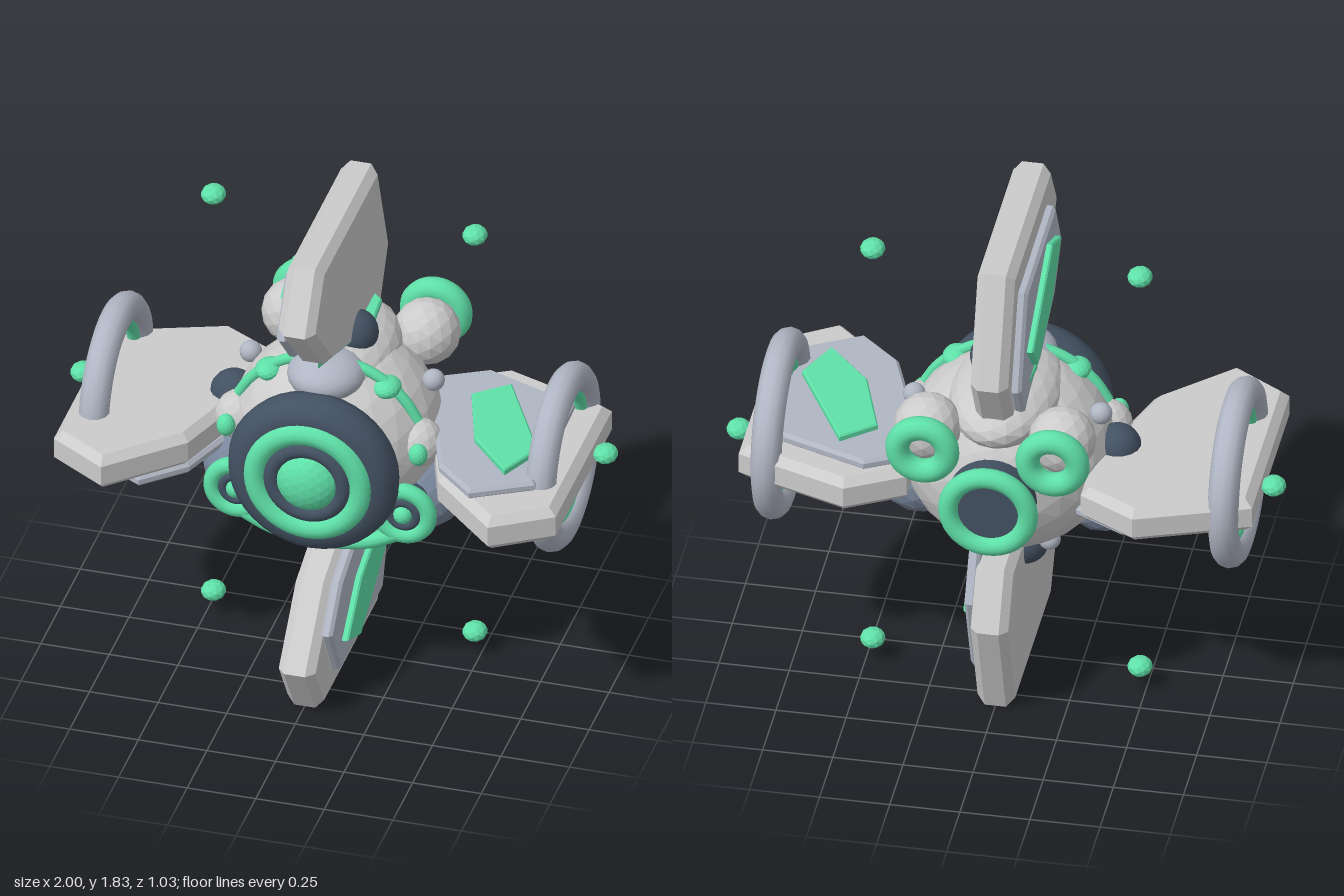
import * as THREE from 'three';

const mat = (color, flatShading = false) => new THREE.MeshStandardMaterial({ color, flatShading });
const GREEN = mat(0x5fe0a8), GEM = mat(0x5fe0a8, true), DARK = mat(0x435162), SLATE = mat(0x78859a, true);
const LILAC = mat(0xb0b6c4), SHELL = mat(0xe4e4e4, true), PLATE = mat(0xcccccc);
const CY = 0.93; // height of the central axis

export function createModel() {
  const root = new THREE.Group();

  const add = (name, geo, material, x = 0, y = 0, z = 0, parent = root) => {
    const m = new THREE.Mesh(geo, material);
    m.name = name;
    m.position.set(x, y, z);
    parent.add(m);
    return m;
  };
  // ball squashed to radii rx, ry, rz
  const ball = (name, material, x, y, z, rx, ry = rx, rz = rx, detail = 2) =>
    add(name, new THREE.IcosahedronGeometry(1, detail).scale(rx, ry, rz), material, x, y, z);
  const ring = (name, material, R, tube, x, y, z) =>
    add(name, new THREE.TorusGeometry(R, tube, 12, 40), material, x, y, z);
  // flat slab in the xz plane with bevelled rim, between heights y0 and y1
  const slab = (points, y0, y1, bevel) => {
    const shape = new THREE.Shape(points.map(p => new THREE.Vector2(p[0], p[1])));
    return new THREE.ExtrudeGeometry(shape, {
      depth: y1 - y0 - 2 * bevel, bevelEnabled: true, bevelThickness: bevel,
      bevelSize: bevel, bevelOffset: -bevel, bevelSegments: 1
    }).rotateX(Math.PI / 2).translate(0, y1 - bevel, 0);
  };

  // Faceted core
  ball('body', SHELL, 0, CY, -0.04, 0.38, 0.36, 0.37, 4);
  ball('topSaddle', SHELL, 0, 1.2, -0.1, 0.2, 0.12, 0.32, 3);
  ball('topFrontDome', LILAC, 0, 1.235, 0.1, 0.14, 0.085, 0.14, 3);
  add('topBadge', slab([[0, -0.34], [0.1, -0.25], [0.11, -0.12], [0, 0.21], [-0.11, -0.12], [-0.1, -0.25]],
    1.315, 1.345, 0.006), GREEN);

  // Four wings around the axis, each with a raised panel on one face
  const wingOutline = [[0.915, -0.33], [0.915, 0.38], [0.705, 0.513], [0.455, 0.275], [0.36, 0],
    [0.31, -0.2], [0.31, -0.36], [0.515, -0.474]];
  const panelOutline = [[0.81, 0.28], [0.602, 0.395], [0.455, 0.26], [0.36, 0], [0.28, -0.29], [0.46, -0.386], [0.8, -0.26]];
  const inlayOutline = [[0.695, 0.265], [0.535, 0.09], [0.447, -0.18], [0.565, -0.28], [0.77, 0.1]];
  for (let i = 0; i < 4; i++) {
    const wing = new THREE.Group();
    wing.name = 'wing';
    wing.position.y = CY;
    wing.rotation.z = i * Math.PI / 2;
    add('wingSlab', slab(wingOutline, -0.067, 0.067, 0.029), PLATE, 0, 0, 0, wing);
    add('wingPanel', slab(panelOutline, 0.06, 0.102, 0.012), LILAC, 0, 0, 0, wing);
    add('wingInlay', slab(inlayOutline, 0.095, 0.125, 0.006), GREEN, 0, 0, 0, wing);
    add('wingRootKnob', new THREE.SphereGeometry(0.085, 16, 12), DARK, 0.385, -0.055, -0.06, wing);
    root.add(wing);
  }

  // Front eye
  ring('eyeOuterRing', DARK, 0.228, 0.083, 0, CY, 0.265);
  ring('eyeGreenRing', GREEN, 0.193, 0.042, 0, CY, 0.335);
  ring('eyeInnerRing', DARK, 0.13, 0.032, 0, CY, 0.34);
  add('eyeBacking', new THREE.CylinderGeometry(0.2, 0.2, 0.14, 32).rotateX(Math.PI / 2), DARK, 0, CY, 0.26);
  ball('eyeLens', GEM, 0, CY, 0.33, 0.118, 0.118, 0.08, 3);

  // Rear port
  add('rearPort', new THREE.CylinderGeometry(0.155, 0.165, 0.12, 32).rotateX(Math.PI / 2), DARK, 0, CY, -0.41);
  ring('rearPortRing', GREEN, 0.142, 0.036, 0, CY, -0.466);

  // Parts mirrored left and right
  for (const s of [1, -1]) {
    ball('rearPod', SHELL, s * 0.24, 1.18, -0.335, 0.12);
    ring('rearPodRing', GREEN, 0.089, 0.043, s * 0.232, 1.175, -0.478);

    // side hoop
    for (const [name, material, R, tube] of [['sideHoop', LILAC, 0.285, 0.055], ['sideHoopLining', GREEN, 0.237, 0.024]])
      ring(name, material, R, tube, s * 0.815, CY, -0.06).rotation.y = Math.PI / 2;

    // cheek port on a rounded pod
    ball('cheekPod', SLATE, s * 0.325, 0.75, 0, 0.15, 0.14, 0.155);
    add('cheekSocket', new THREE.CylinderGeometry(0.09, 0.09, 0.1, 24).rotateX(Math.PI / 2), DARK, s * 0.305, 0.755, 0.135);
    ring('cheekRing', GREEN, 0.09, 0.03, s * 0.305, 0.755, 0.185);
    ring('cheekInnerRing', DARK, 0.048, 0.018, s * 0.305, 0.755, 0.19);
    ball('cheekBead', GEM, s * 0.305, 0.755, 0.195, 0.035);

    // shoulder trim and studs
    const arc = [25, 38, 52, 64, 75].map(d => {
      const a = d * Math.PI / 180;
      return new THREE.Vector3(s * 0.36 * Math.cos(a), CY + 0.355 * Math.sin(a), 0.08);
    });
    add('shoulderTrim', new THREE.TubeGeometry(new THREE.CatmullRomCurve3(arc), 20, 0.02, 8), GREEN);
    ball('shoulderStud', GEM, s * 0.215, 1.2, 0.08, 0.05, 0.035, 0.06);
    ball('sideBump', SHELL, s * 0.325, 0.985, 0.07, 0.09);
    ball('sideStud', GEM, s * 0.35, 0.99, 0.16, 0.034, 0.042, 0.034);

    // small rivets
    ball('upperRivet', LILAC, s * 0.333, 1.142, -0.095, 0.04);
    ball('lowerRivet', LILAC, s * 0.148, 0.582, -0.09, 0.04);

    // floating gems on a hexagon
    for (const d of [-60, 0, 60]) {
      const a = d * Math.PI / 180;
      ball('floatingGem', GEM, s * 0.953 * Math.cos(a), CY + 0.955 * Math.sin(a), -0.12, 0.045, 0.034, 0.05, 1);
    }
  }

  // Curved bar joining the cheeks
  const chin = [[-0.29, 0.67], [-0.17, 0.615], [0, 0.593], [0.17, 0.615], [0.29, 0.67]]
    .map(([x, y]) => new THREE.Vector3(x, y, 0.185));
  add('chinBar', new THREE.TubeGeometry(new THREE.CatmullRomCurve3(chin), 32, 0.029, 10), GREEN);

  return root;
}
